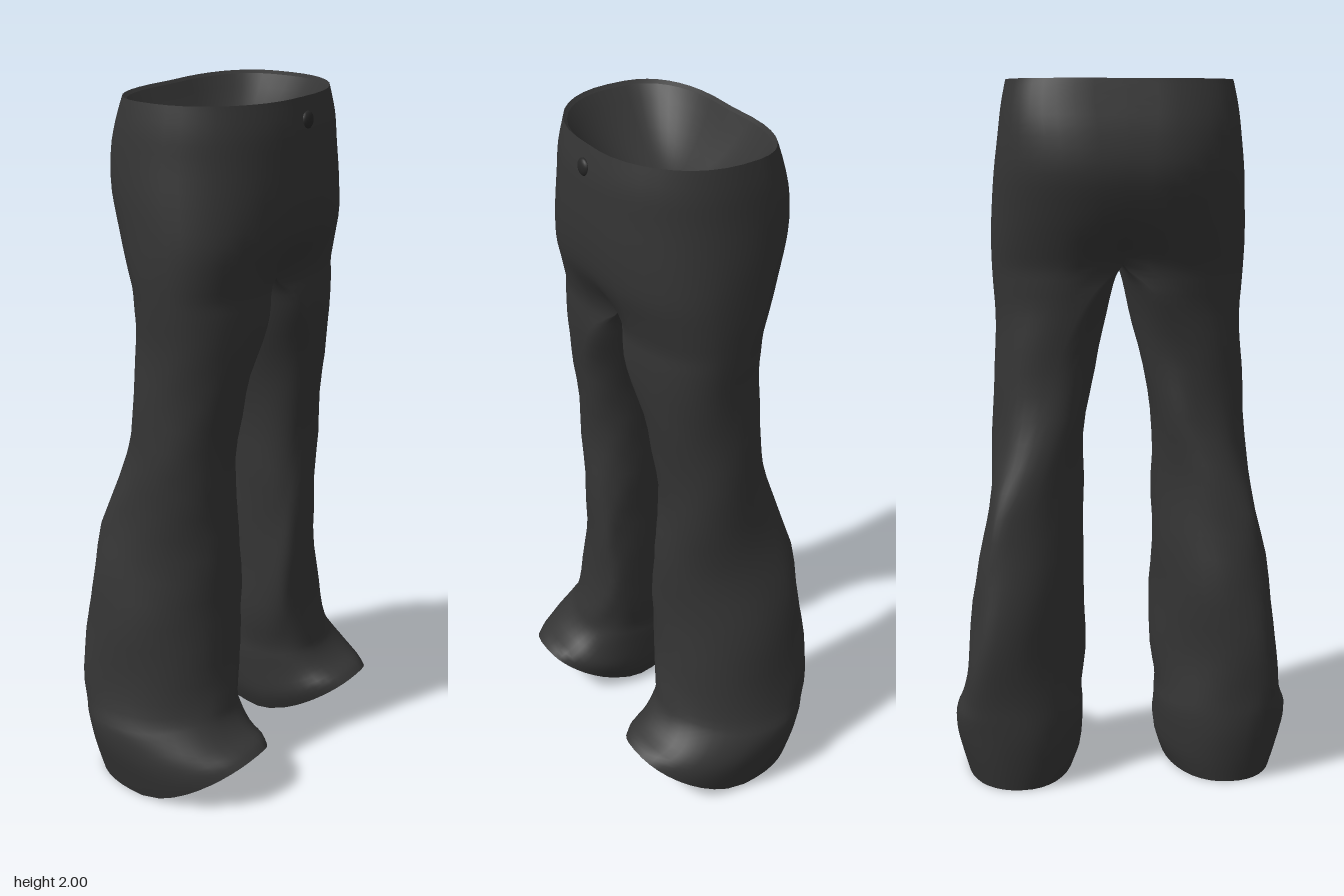
import * as THREE from 'three';
import { mergeVertices } from 'three/addons/utils/BufferGeometryUtils.js';

const N = 20; // segments in each half of a leg ring
const SUB = 3; // smooth steps between profile rows
const { smoothstep } = THREE.MathUtils;
// height, inner x, outer x, front z, back z, seam x
const ROWS = [
  [0.0, 0.135, 0.455, 0.28, -0.24, 0.285],
  [0.06, 0.115, 0.47, 0.255, -0.25, 0.285],
  [0.13, 0.11, 0.483, 0.205, -0.257, 0.29],
  [0.2, 0.108, 0.482, 0.163, -0.26, 0.285],
  [0.26, 0.112, 0.464, 0.148, -0.26, 0.28],
  [0.4, 0.1, 0.448, 0.135, -0.258, 0.27],
  [0.6, 0.1, 0.42, 0.13, -0.247, 0.255],
  [0.8, 0.105, 0.385, 0.13, -0.22, 0.24],
  [1.0, 0.1, 0.364, 0.13, -0.175, 0.22],
  [1.2, 0.07, 0.355, 0.15, -0.157, 0.19],
  [1.35, 0.036, 0.352, 0.178, -0.163, 0.13],
  [1.44, 0.015, 0.356, 0.19, -0.181, 0.07],
  [1.5, 0.0, 0.359, 0.198, -0.2, 0.0],
  [1.57, 0.0, 0.36, 0.214, -0.227, 0.0],
  [1.65, 0.0, 0.357, 0.238, -0.258, 0.0],
  [1.75, 0.0, 0.35, 0.25, -0.286, 0.0],
  [1.85, 0.0, 0.338, 0.25, -0.274, 0.0],
  [1.93, 0.0, 0.328, 0.246, -0.248, 0.0],
  [2.0, 0.0, 0.314, 0.23, -0.222, 0.0],
];
const CROTCH_ROW = 12 * SUB;

// Smooth profile at fractional row f
function profile(f) {
  const i = Math.min(Math.floor(f), ROWS.length - 2), t = f - i;
  const r = (k) => ROWS[Math.max(0, Math.min(ROWS.length - 1, k))];
  return ROWS[0].map((_, c) => {
    const p0 = r(i - 1)[c], p1 = r(i)[c], p2 = r(i + 1)[c], p3 = r(i + 2)[c];
    const v = p1 + 0.5 * t * (p2 - p0 + t * (2 * p0 - 5 * p1 + 4 * p2 - p3 + t * (3 * (p1 - p2) + p3 - p0)));
    return c === 4 ? v : Math.max(0, v);
  });
}

// One ring: front centre, round the outside to the back, then the inside
function ring(f) {
  const [y, xi, xo, zf, zb, sx] = profile(f);
  const waist = smoothstep(y, 1.7, 2), hem = 1 - smoothstep(y, 0, 0.35);
  const hip = Math.exp(-(((y - 1.55) / 0.15) ** 2));
  const pull = 0.028 + 0.25 * Math.exp(-(((y - 1.49) / 0.08) ** 2));
  const soft = smoothstep(y, 0.05, 0.3) * (1 - smoothstep(y, 1.1, 1.5));
  // lower legs lean toward the outer back and inner front
  const skew = (0.1 + 0.32 * smoothstep(y, 0.1, 0.4)) * (1 - smoothstep(y, 0.75, 1.08));
  const zc = (zf + zb) / 2 - 0.03 * smoothstep(y, 1.6, 1.95);
  return Array.from({ length: 2 * N }, (_, j) => {
    const a = Math.PI / 2 - (Math.PI * j) / N;
    const c = j % N === 0 ? 0 : Math.cos(a), s = Math.sin(a);
    // rounder at the front of the waist, squarer at its back and at the toe
    const e = 2 / (2.2 + (s > 0 ? 0.3 * hip - 0.1 * waist + 0.4 * hem : 0.65 * waist));
    const u = Math.sign(c) * Math.abs(c) ** e, v = Math.sign(s) * Math.abs(s) ** e;
    let x = sx + u * (u > 0 ? xo - sx : sx - xi) - skew * v * (1 - u * u) * (xo - xi) / 2;
    let z = zc + v * (v > 0 ? zf - zc : zc - zb) - skew * u * (1 - v * v) * (zf - zb) / 2;
    // centre seam cleft
    z *= 1 - pull * Math.exp(-((x / 0.08) ** 2));
    // soft cloth folds
    const fold = 0.004 * soft * Math.sin(3 * a + 13 * y) + 0.002 * soft * Math.sin(5 * a - 24 * y);
    x += fold * u;
    z += fold * v;
    // hem rises over the foot
    const lift = y < 0.35 && z > 0 ? 0.15 * (z / 0.28) ** 1.5 * (1 - y / 0.35) : 0;
    return [x, y + lift, z];
  });
}

function build(positions, index) {
  let g = new THREE.BufferGeometry();
  g.setAttribute('position', new THREE.Float32BufferAttribute(positions, 3));
  g.setIndex(index);
  g = mergeVertices(g, 1e-4);
  g.computeVertexNormals();
  return g;
}

// Both halves welded into one smooth garment
function trousersGeometry() {
  const pos = [], idx = [], count = (ROWS.length - 1) * SUB + 1, M = 2 * N;
  for (const side of [1, -1]) {
    const base = pos.length / 3;
    for (let i = 0; i < count; i++) {
      for (const [x, y, z] of ring(i / SUB)) pos.push(side * x, y, z);
      if (i === count - 1) continue;
      const quads = i < CROTCH_ROW ? M : N;
      for (let j = 0; j < quads; j++) {
        const a = base + i * M + j, b = base + i * M + ((j + 1) % M), c = a + M, d = b + M;
        if (side > 0) idx.push(a, b, d, a, d, c);
        else idx.push(a, d, b, a, c, d);
      }
    }
  }
  return build(pos, idx);
}

// Shallow lining that closes an opening, bulging by depth in y
function liningGeometry(edge, depth) {
  const n = edge.length, steps = 10, pos = [], idx = [];
  const mid = [0, 1, 2].map((k) => edge.reduce((sum, p) => sum + p[k], 0) / n);
  for (let i = 0; i <= steps; i++) {
    const s = Math.max(0.001, 1 - i / steps);
    for (const p of edge) {
      pos.push(mid[0] + (p[0] - mid[0]) * s, mid[1] + (p[1] - mid[1]) * s + depth * (1 - s * s), mid[2] + (p[2] - mid[2]) * s);
    }
    if (i === steps) continue;
    for (let j = 0; j < n; j++) {
      const a = i * n + j, b = i * n + ((j + 1) % n);
      if (depth < 0) idx.push(a, b, a + n, b, b + n, a + n);
      else idx.push(a, a + n, b, b, a + n, b + n);
    }
  }
  return build(pos, idx);
}

export function createModel() {
  const group = new THREE.Group();
  const fabric = new THREE.MeshStandardMaterial({ color: 0x343434, side: THREE.DoubleSide });
  fabric.name = 'charcoal fabric';
  const dark = new THREE.MeshStandardMaterial({ color: 0x262626 });
  dark.name = 'dark button';
  const add = (name, geometry, material) => {
    const mesh = new THREE.Mesh(geometry, material);
    mesh.name = name;
    group.add(mesh);
    return mesh;
  };

  add('trousers', trousersGeometry(), fabric);

  // Waist: thin turned edge and inner lining
  const half = ring(ROWS.length - 1).slice(0, N + 1);
  const waist = [...half, ...half.slice(1, N).reverse().map(([x, y, z]) => [-x, y, z])];
  const inner = waist.map(([x, y, z]) => [x * 0.96, y - 0.008, z * 0.96]);
  const rim = [], rimIdx = [], n = waist.length;
  waist.forEach((p, j) => {
    rim.push(...p, ...inner[j]);
    const a = 2 * j, b = 2 * ((j + 1) % n);
    rimIdx.push(a, b, b + 1, a, b + 1, a + 1);
  });
  add('waistEdge', build(rim, rimIdx), fabric);
  add('waistLining', liningGeometry(inner, -0.17), fabric);

  // Lining inside each hem
  for (const [name, side] of [['leftHemLining', 1], ['rightHemLining', -1]]) {
    const edge = ring(0).map(([x, y, z]) => [x * side, y, z]);
    if (side < 0) edge.reverse();
    add(name, liningGeometry(edge, 0.08), fabric);
  }

  // Front button
  const button = add('button', new THREE.SphereGeometry(0.024, 20, 12), dark);
  button.scale.z = 0.5;
  button.position.set(0, 1.94, 0.235);
  return group;
}
